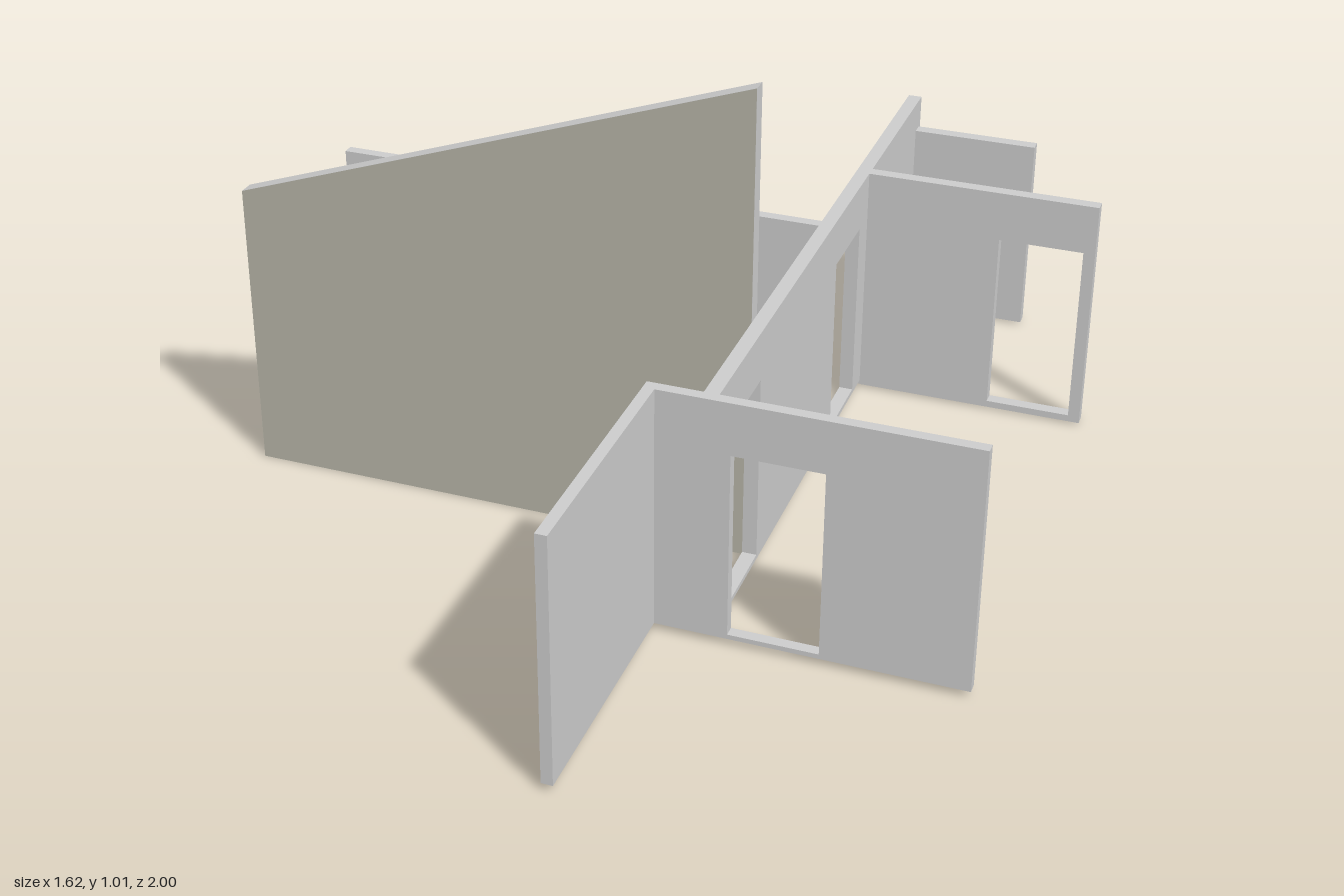
import * as THREE from 'three';

const grey = new THREE.MeshStandardMaterial({ color: 0xcccccc });
const warm = new THREE.MeshStandardMaterial({ color: 0xb6b4a7 });
const BASE = 0.015, TOP = 0.53;

const rect = (a0, a1, y0, y1) => [[a0, y0], [a1, y0], [a1, y1], [a0, y1]];
const toPoints = (list) => list.map(([a, y]) => new THREE.Vector2(a, y));

// Upright wall from an outline and door openings; axis is the direction it runs,
// c0 and c1 are its two faces across that direction.
function wall(name, axis, outline, c0, c1, doors = []) {
  const shape = new THREE.Shape(toPoints(outline));
  for (const d of doors) shape.holes.push(new THREE.Path(toPoints(rect(...d))));
  const geo = new THREE.ExtrudeGeometry(shape, { depth: c1 - c0, bevelEnabled: false });
  if (axis === 'z') geo.rotateY(-Math.PI / 2).translate(c1, 0, 0);
  else geo.translate(0, 0, c0);
  const mesh = new THREE.Mesh(geo, grey);
  mesh.name = name;
  return mesh;
}

export function createModel() {
  const group = new THREE.Group();
  group.name = 'houseWalls';

  // Long central wall with two doorways, its back section reaching lower
  const spine = [[-1, 0.005], [-0.545, 0.005], [-0.545, BASE], [0.47, BASE], [0.47, TOP], [-1, TOP]];
  group.add(wall('centralWall', 'z', spine, 0.28, 0.31,
    [[-0.48, -0.3, 0.025, 0.425], [0.22, 0.4, 0.025, 0.425]]));

  // Front cross wall with a doorway, and the wall running forward from it
  group.add(wall('frontCrossWall', 'x', rect(0.17, 0.81, BASE, TOP), 0.47, 0.493,
    [[0.34, 0.52, 0.025, 0.42]]));
  group.add(wall('frontWingWall', 'z', rect(0.493, 1, BASE, TOP), 0.17, 0.193));

  // Rear room: cross wall with a doorway and a lower end wall
  group.add(wall('rearCrossWall', 'x', rect(0.31, 0.81, 0.005, TOP), -0.57, -0.543,
    [[0.603, 0.785, 0.02, 0.42]]));
  group.add(wall('rearEndWall', 'x', rect(0.31, 0.59, 0.005, 0.46), -0.988, -0.96));

  // Two wall pieces with a gap between them
  group.add(wall('sideWallOuter', 'x', rect(-0.81, -0.285, BASE, TOP), -0.282, -0.258));
  group.add(wall('sideWallInner', 'x', rect(-0.08, 0.28, BASE, TOP), -0.282, -0.258));

  // Tall wall with a sloping top, faced on its front with a tinted finish
  const slope = [[-0.81, 0], [0.28, 0], [0.28, 1.012], [-0.81, 0.63]];
  group.add(wall('tallSlopedWall', 'x', slope, 0.158, 0.19));
  const facing = new THREE.Mesh(new THREE.ShapeGeometry(new THREE.Shape(toPoints(slope))), warm);
  facing.position.z = 0.191;
  facing.name = 'tallWallFacing';
  group.add(facing);

  return group;
}
